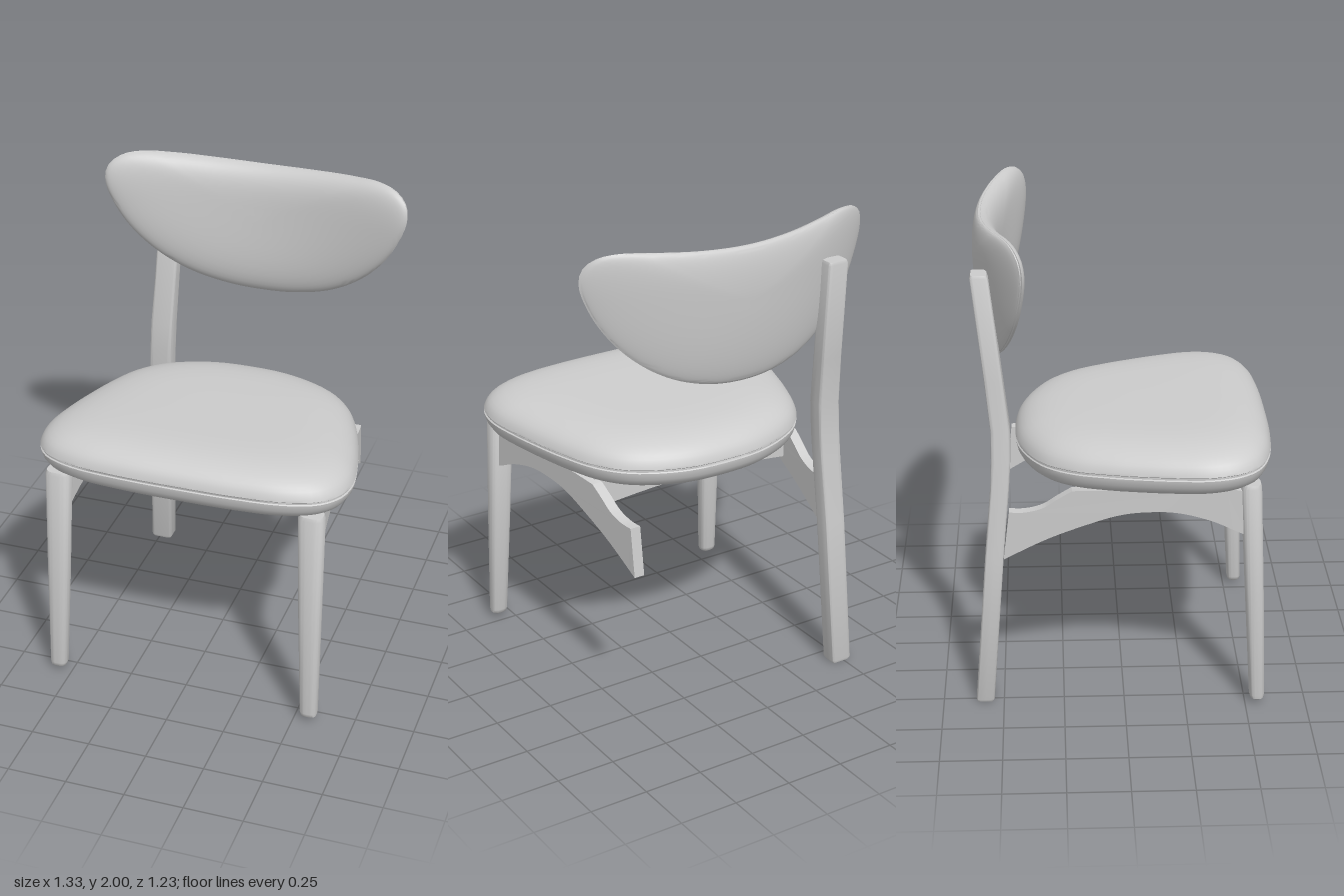
import * as THREE from 'three';
import { toCreasedNormals } from 'three/addons/utils/BufferGeometryUtils.js';

const grey = new THREE.MeshStandardMaterial({ color: 0xcccccc });
grey.name = 'light grey';

// Skin a stack of closed rings (counter-clockwise about the stacking axis) and cap both ends
function loft(rings, crease) {
  const n = rings[0].length;
  const pos = [], idx = [];
  rings.forEach(r => r.forEach(p => pos.push(p.x, p.y, p.z)));
  for (let i = 0; i < rings.length - 1; i++) {
    for (let j = 0; j < n; j++) {
      const k = (j + 1) % n;
      const a = i * n + j, b = i * n + k, c = a + n, d = b + n;
      idx.push(a, b, d, a, d, c);
    }
  }
  [rings[0], rings[rings.length - 1]].forEach((r, end) => {
    const mid = r.reduce((m, p) => m.add(p), new THREE.Vector3()).divideScalar(n);
    const base = end * (rings.length - 1) * n;
    const centre = pos.length / 3;
    pos.push(mid.x, mid.y, mid.z);
    for (let j = 0; j < n; j++) {
      const a = base + j, b = base + (j + 1) % n;
      if (end) idx.push(a, b, centre);
      else idx.push(b, a, centre);
    }
  });
  const g = new THREE.BufferGeometry();
  g.setAttribute('position', new THREE.Float32BufferAttribute(pos, 3));
  g.setIndex(idx);
  return toCreasedNormals(g, crease);
}

// Smooth closed outline from its right half; first and last points lie on the centre line
function mirroredOutline(half) {
  const left = half.slice(1, -1).reverse().map(([x, v]) => [-x, v]);
  const pts = [...half, ...left].map(([x, v]) => new THREE.Vector3(x, v, 0));
  return new THREE.CatmullRomCurve3(pts, true).getSpacedPoints(112).slice(0, -1);
}

// Dome steps as [scale, height], from rim to middle
function dome(height, power) {
  const steps = [0.995, 0.985, 0.97, 0.95, 0.92, 0.88, 0.82, 0.74, 0.64, 0.52, 0.38, 0.22, 0.08];
  return steps.map(t => [t, height * Math.sqrt(1 - t ** power)]);
}

// Leg from sections [y, centreX, centreZ, halfX, halfZ] with rounded-square outline
function legGeometry(sections, power) {
  const bend = (v) => Math.sign(v) * Math.abs(v) ** (2 / power);
  return loft(sections.map(([y, cx, cz, hx, hz]) => Array.from({ length: 40 }, (_, i) => {
    const a = (i / 40) * Math.PI * 2;
    return new THREE.Vector3(cx + hx * bend(Math.sin(a)), y, cz + hz * bend(Math.cos(a)));
  })), 0.75);
}

const points = list => list.map(([x, y]) => new THREE.Vector2(x, y));

export function createModel() {
  const chair = new THREE.Group();
  chair.name = 'chair';
  const add = (name, geometry) => {
    const mesh = new THREE.Mesh(geometry, grey);
    mesh.name = name;
    chair.add(mesh);
  };

  // Seat cushion: flat underside, seam groove, soft top, tilted down to the back
  const seat = mirroredOutline([
    [0, 0.615], [0.25, 0.61], [0.45, 0.588], [0.58, 0.535], [0.64, 0.46], [0.663, 0.35],
    [0.642, 0.2], [0.604, 0.05], [0.563, -0.08], [0.5, -0.22], [0.4, -0.33], [0.2, -0.42], [0, -0.44],
  ]);
  const seatSteps = [
    [0.5, -0.08], [0.88, -0.08], [0.93, -0.074], [0.965, -0.058], [0.988, -0.035], [0.998, -0.012],
    [1, -0.004], [0.992, 0], [0.992, 0.008], [1, 0.012],
    ...dome(0.122, 6).map(([t, h]) => [t, Math.max(h, 0.016)]),
  ];
  add('seat', loft(seatSteps.map(([t, h]) => seat.map(p => {
    const z = 0.1 + (p.y - 0.1) * t;
    return new THREE.Vector3(p.x * t, 1.032 + h + 0.05 * (z - 0.1), z);
  })), 0.8));

  // Backrest: lens-shaped pad wrapped around the sitter
  const back = mirroredOutline([
    [0, 1.4], [0.15, 1.412], [0.3, 1.455], [0.43, 1.53], [0.54, 1.635], [0.62, 1.76], [0.66, 1.88],
    [0.648, 1.945], [0.6, 1.985], [0.52, 2.0], [0.4, 1.993], [0.2, 1.977], [0, 1.97],
  ]);
  const backSteps = [
    ...dome(0.043, 2).reverse().map(([t, h]) => [t, -h]),
    [1, -0.003], [0.992, 0], [0.992, 0.004], [1, 0.006],
    ...dome(0.072, 4).map(([t, h]) => [t, Math.max(h, 0.008)]),
  ];
  add('backrest', loft(backSteps.map(([t, h]) => back.map(p => {
    const x = p.x * t, y = 1.75 + (p.y - 1.75) * t;
    const seam = -0.535 - 0.061 * (y - 1.4) + 0.38 * x * x;
    return new THREE.Vector3(x, y, seam + h);
  })), 0.8));

  // Single bent back leg
  add('backLeg', legGeometry([
    [0, -0.488, -0.578, 0.042, 0.033], [0.012, -0.488, -0.577, 0.048, 0.038],
    [0.65, -0.467, -0.527, 0.049, 0.038], [0.95, -0.453, -0.5, 0.05, 0.038],
    [1.06, -0.447, -0.494, 0.05, 0.039], [1.19, -0.44, -0.493, 0.05, 0.039],
    [1.4, -0.43, -0.516, 0.048, 0.037], [1.82, -0.412, -0.564, 0.047, 0.036],
    [1.832, -0.412, -0.565, 0.042, 0.031],
  ], 8));

  // Side rail profile, drawn with x running towards the back
  const rail = new THREE.Shape();
  rail.moveTo(-0.49, 0.765);
  rail.splineThru(points([[-0.46, 0.775], [-0.35, 0.822], [-0.22, 0.853], [-0.1, 0.855],
    [0.02, 0.838], [0.16, 0.79], [0.32, 0.722], [0.49, 0.63]]));
  rail.lineTo(0.465, 0.84);
  rail.splineThru(points([[0.4, 0.842], [0.33, 0.862], [0.27, 0.902], [0.21, 0.94]]));
  rail.lineTo(-0.4, 0.966);
  rail.lineTo(-0.49, 0.955);

  for (const s of [-1, 1]) {
    const side = s > 0 ? 'left' : 'right';
    // Tapered, splayed front legs
    add(side + 'FrontLeg', legGeometry([
      [0.018, s * 0.561, 0.55, 0.024, 0.02], [0.024, s * 0.561, 0.55, 0.033, 0.027],
      [0.04, s * 0.56, 0.549, 0.037, 0.031], [0.5, s * 0.55, 0.53, 0.047, 0.038],
      [0.97, s * 0.541, 0.508, 0.054, 0.042], [0.985, s * 0.541, 0.508, 0.048, 0.037],
    ], 2.8));

    // Side rails, sheared so they converge to the back
    const g = new THREE.ExtrudeGeometry(rail, { depth: 0.045, bevelEnabled: false, curveSegments: 32 });
    g.translate(0, 0, -0.0225);
    g.rotateY(Math.PI / 2);
    const p = g.attributes.position;
    for (let i = 0; i < p.count; i++) p.setX(i, p.getX(i) + s * (0.503 + 0.09 * p.getZ(i)));
    add(side + 'SideRail', toCreasedNormals(g, 0.6));
  }

  // Two arched cross bars under the seat: [z, half length, end height, crown, top]
  [[0.3, 0.52, 0.83, 0.87, 0.965], [-0.16, 0.48, 0.81, 0.84, 0.942]].forEach(([z, w, end, crown, top], i) => {
    const bar = new THREE.Shape();
    bar.moveTo(-w, end);
    bar.quadraticCurveTo(0, 2 * crown - end, w, end);
    bar.lineTo(w, top);
    bar.lineTo(-w, top);
    const g = new THREE.ExtrudeGeometry(bar, { depth: 0.045, bevelEnabled: false, curveSegments: 24 });
    g.translate(0, 0, z - 0.0225);
    add(i ? 'rearCrossBar' : 'frontCrossBar', toCreasedNormals(g, 0.6));
  });

  return chair;
}
